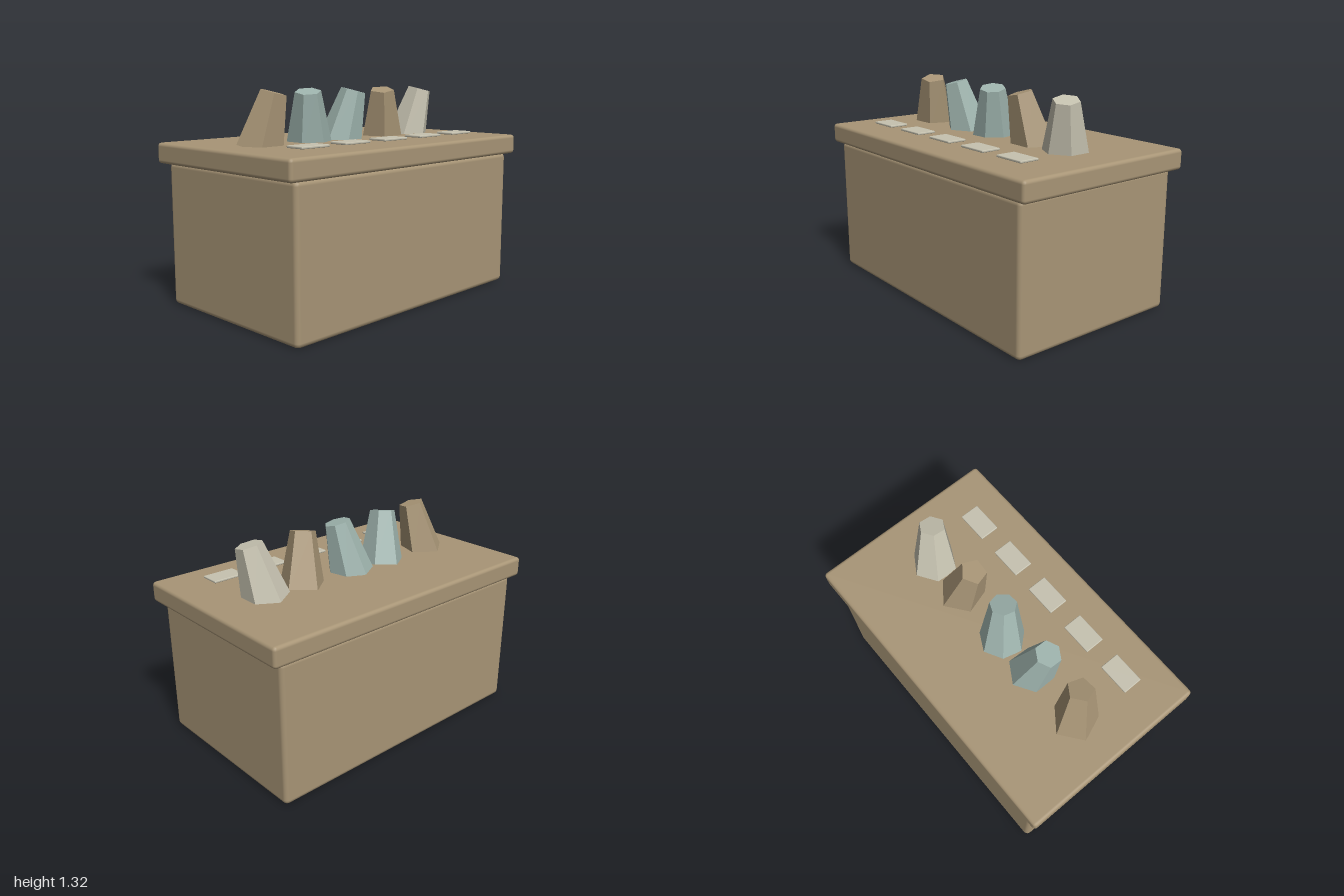
import * as THREE from 'three';
import { RoundedBoxGeometry } from 'three/addons/geometries/RoundedBoxGeometry.js';

const material = (name, color, flatShading = false) => {
  const m = new THREE.MeshStandardMaterial({ color, flatShading });
  m.name = name;
  return m;
};

export function createModel() {
  const model = new THREE.Group();
  model.name = 'displayCounter';

  const wood = material('tan wood', 0xa89576);
  const ivory = material('ivory', 0xc6c2b0);
  const teal = material('grey teal', 0x9db2ac);

  // Box with softened edges, placed by its bottom
  const addBox = (name, mat, w, h, d, radius, x, bottom, z) => {
    const mesh = new THREE.Mesh(new RoundedBoxGeometry(w, h, d, 2, radius), mat);
    mesh.name = name;
    mesh.position.set(x, bottom + h / 2, z);
    model.add(mesh);
  };

  // Counter body and overhanging top
  addBox('counterBody', wood, 1.88, 0.88, 1.15, 0.03, 0, 0, 0);
  addBox('counterTop', wood, 2, 0.125, 1.21, 0.022, 0, 0.875, 0);

  // Row of leaning faceted pieces, each with a label plate in front
  const pieces = [
    { sides: 5, mat: wood },
    { sides: 6, mat: teal },
    { sides: 7, mat: teal },
    { sides: 5, mat: wood },
    { sides: 6, mat: ivory },
  ];
  const tilt = 0.18;
  pieces.forEach(({ sides, mat }, i) => {
    const x = (i - 2) * 0.326;

    // One corner of every piece points to the back
    const geometry = new THREE.CylinderGeometry(0.08, 0.143, 0.336, sides, 1, false, Math.PI)
      .toNonIndexed();
    geometry.computeVertexNormals();
    const piece = new THREE.Mesh(geometry, mat);
    piece.name = `facetedPiece${i + 1}`;
    piece.position.set(x, 1.14, 0);
    piece.rotation.set(tilt, 0, i % 2 ? tilt : -tilt);
    model.add(piece);

    addBox(`labelPlate${i + 1}`, ivory, 0.205, 0.014, 0.126, 0.005, x, 1.013, 0.354);
  });

  return model;
}
